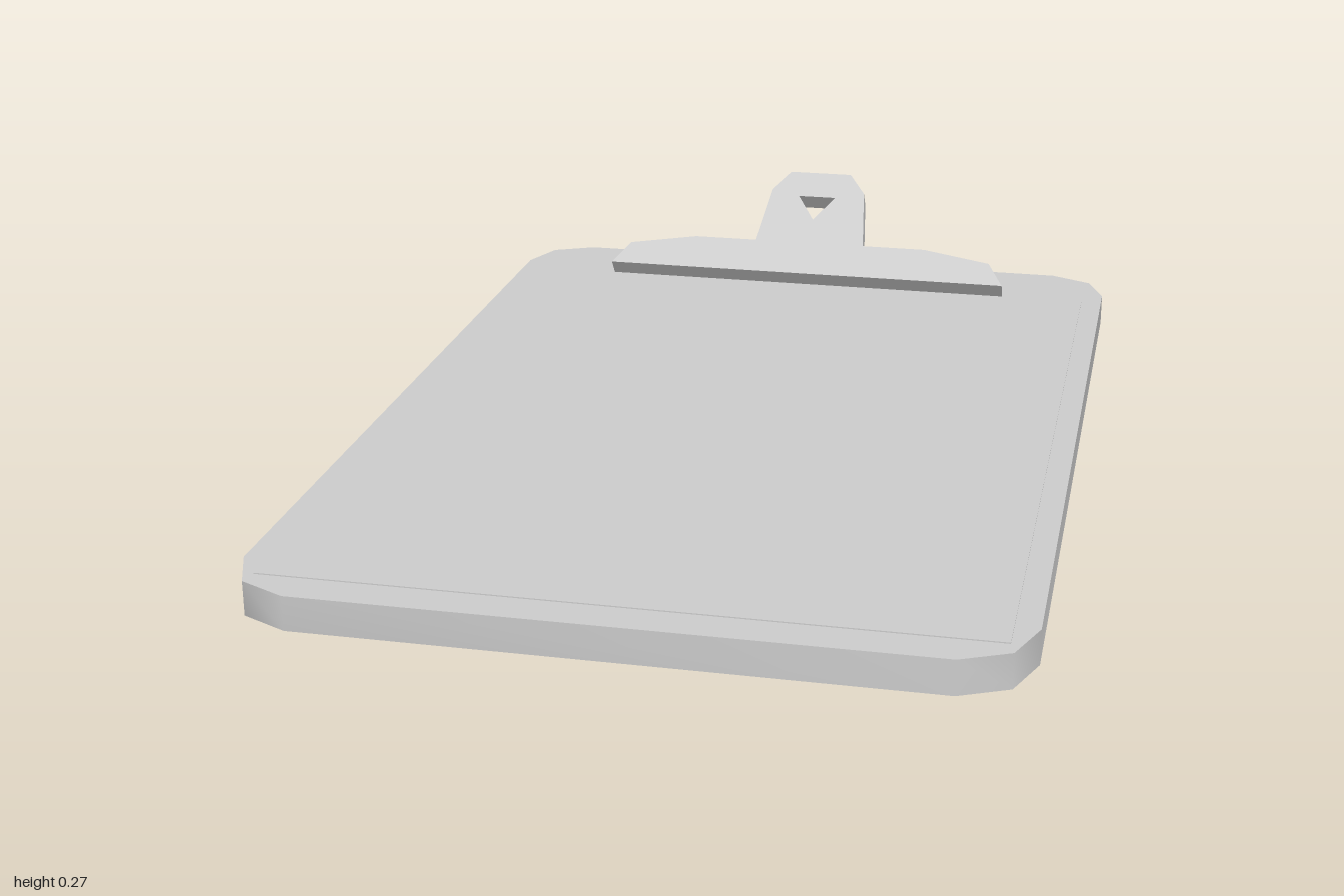
import * as THREE from 'three';
import { toCreasedNormals } from 'three/addons/utils/BufferGeometryUtils.js';

const material = new THREE.MeshStandardMaterial({ color: 0xcccccc });

function addMesh(group, name, geometry) {
  const mesh = new THREE.Mesh(geometry, material);
  mesh.name = name;
  group.add(mesh);
  return mesh;
}

// Closed shape from its right half (listed bottom to top), mirrored in x
function mirroredShape(half) {
  const left = half.map(([x, y]) => [-x, y]).reverse();
  return new THREE.Shape([...half, ...left].map(([x, y]) => new THREE.Vector2(x, y)));
}

export function createModel() {
  const group = new THREE.Group();
  group.name = 'clipboard';
  const top = 0.063;

  // Board with chamfered corners (shape y is -z)
  const boardShape = mirroredShape([
    [0.55, -1], [0.635, -0.96], [0.67, -0.87],
    [0.67, 0.825], [0.635, 0.915], [0.55, 0.955],
  ]);
  const board = new THREE.ExtrudeGeometry(boardShape, { depth: top, bevelEnabled: false });
  board.rotateX(-Math.PI / 2);
  addMesh(group, 'board', toCreasedNormals(board, 0.9));

  // Thin sheet of paper
  const paper = addMesh(group, 'paper', new THREE.BoxGeometry(1.254, 0.003, 1.705));
  paper.position.set(0, top + 0.0005, 0.0775);

  // Sloping clip plate with a triangular hole in its tab
  const clipShape = mirroredShape([
    [0.45, 0], [0.415, 0.058], [0.265, 0.086],
    [0.125, 0.086], [0.108, 0.234], [0.07, 0.287],
  ]);
  clipShape.holes.push(new THREE.Path([
    new THREE.Vector2(0, 0.152), new THREE.Vector2(-0.042, 0.218), new THREE.Vector2(0.042, 0.218),
  ]));
  const clipGeometry = new THREE.ExtrudeGeometry(clipShape, { depth: 0.043, bevelEnabled: false });
  clipGeometry.translate(0, 0, -0.043);
  const clip = addMesh(group, 'clipPlate', clipGeometry);
  clip.rotation.x = THREE.MathUtils.degToRad(-52.7);
  clip.position.set(0, 0.098, -0.747);

  // Round-topped hinge mount, arched along its length
  const radius = 0.025, length = 0.33;
  const profile = new THREE.Shape();
  profile.moveTo(-radius, 0);
  profile.lineTo(radius, 0);
  profile.lineTo(radius, 0.005);
  profile.absarc(0, 0.005, radius, 0, Math.PI, false);
  const mount = new THREE.ExtrudeGeometry(profile, {
    depth: length, steps: 16, curveSegments: 10, bevelEnabled: false,
  });
  mount.translate(0, 0, -length / 2);
  const p = mount.attributes.position;
  for (let i = 0; i < p.count; i++) {
    const rise = 0.055 * Math.cos((p.getZ(i) / length) * Math.PI);
    if (p.getY(i) > 0.001) p.setY(i, p.getY(i) + rise);
  }
  mount.rotateY(Math.PI / 2);
  const hinge = addMesh(group, 'hingeMount', toCreasedNormals(mount, 0.7));
  hinge.position.set(0, top, -0.882);

  return group;
}
